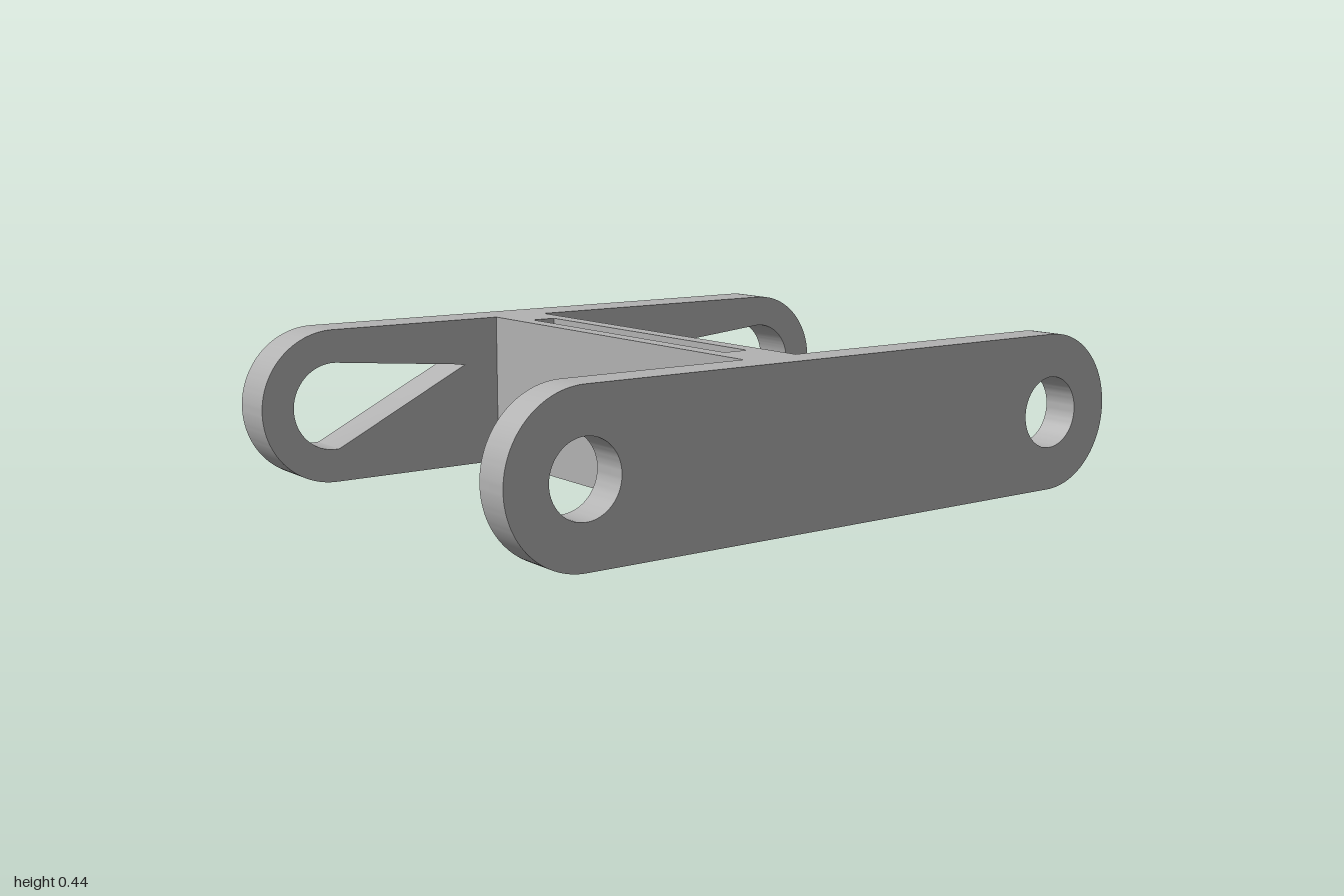
import * as THREE from 'three';
import { toCreasedNormals } from 'three/addons/utils/BufferGeometryUtils.js';

const HEIGHT = 0.44, R = HEIGHT / 2, PIVOT = 1 - R;

// Rounded-end bar outline, centred on the origin
function barShape() {
  const s = new THREE.Shape();
  s.moveTo(-PIVOT, -R);
  s.lineTo(PIVOT, -R);
  s.absarc(PIVOT, 0, R, -Math.PI / 2, Math.PI / 2, false);
  s.lineTo(-PIVOT, R);
  s.absarc(-PIVOT, 0, R, Math.PI / 2, Math.PI * 1.5, false);
  return s;
}

// Round pivot hole
function roundHole(side) {
  return new THREE.Path().absarc(side * PIVOT, 0, 0.1, 0, Math.PI * 2, true);
}

// Slot with a round outer end, tapering to a square inner end
function taperedSlot(side) {
  const r = 0.125, inner = 0.35, half = 0.085;
  const a = Math.PI / 2 - Math.atan((r - half) / (PIVOT - inner)) * -1;
  const p = new THREE.Path();
  p.moveTo(side * inner, -half);
  if (side > 0) p.absarc(PIVOT, 0, r, -a, a, false);
  else p.absarc(-PIVOT, 0, r, Math.PI + a, Math.PI - a, true);
  p.lineTo(side * inner, half);
  p.closePath();
  return p;
}

function rectangle(path, x0, x1, y0, y1) {
  path.moveTo(x0, y0);
  path.lineTo(x1, y0);
  path.lineTo(x1, y1);
  path.lineTo(x0, y1);
  path.closePath();
  return path;
}

function extrude(shape, depth) {
  const g = new THREE.ExtrudeGeometry(shape, { depth, bevelEnabled: false, curveSegments: 40 });
  return toCreasedNormals(g, Math.PI / 6);
}

export function createModel() {
  const group = new THREE.Group();
  const grey = new THREE.MeshStandardMaterial({ color: 0xb2b2b2 });
  grey.name = 'grey';

  const add = (name, geometry) => {
    const mesh = new THREE.Mesh(geometry, grey);
    mesh.name = name;
    group.add(mesh);
  };

  // Side bars: the front has round holes, the thicker back has tapered slots
  const bars = [
    ['frontBar', roundHole, 0.612, 0.714],
    ['backBar', taperedSlot, -0.714, -0.575],
  ];
  for (const [name, hole, z0, z1] of bars) {
    const shape = barShape();
    shape.holes.push(hole(-1), hole(1));
    add(name, extrude(shape, z1 - z0).translate(0, R, z0));
  }

  // Cross web joining the bars, with a narrow vertical slot through it
  const web = rectangle(new THREE.Shape(), -0.24, -0.07, -0.612, 0.575);
  web.holes.push(rectangle(new THREE.Path(), -0.192, -0.118, -0.475, 0.444));
  add('crossWeb', extrude(web, HEIGHT).rotateX(-Math.PI / 2));

  return group;
}
